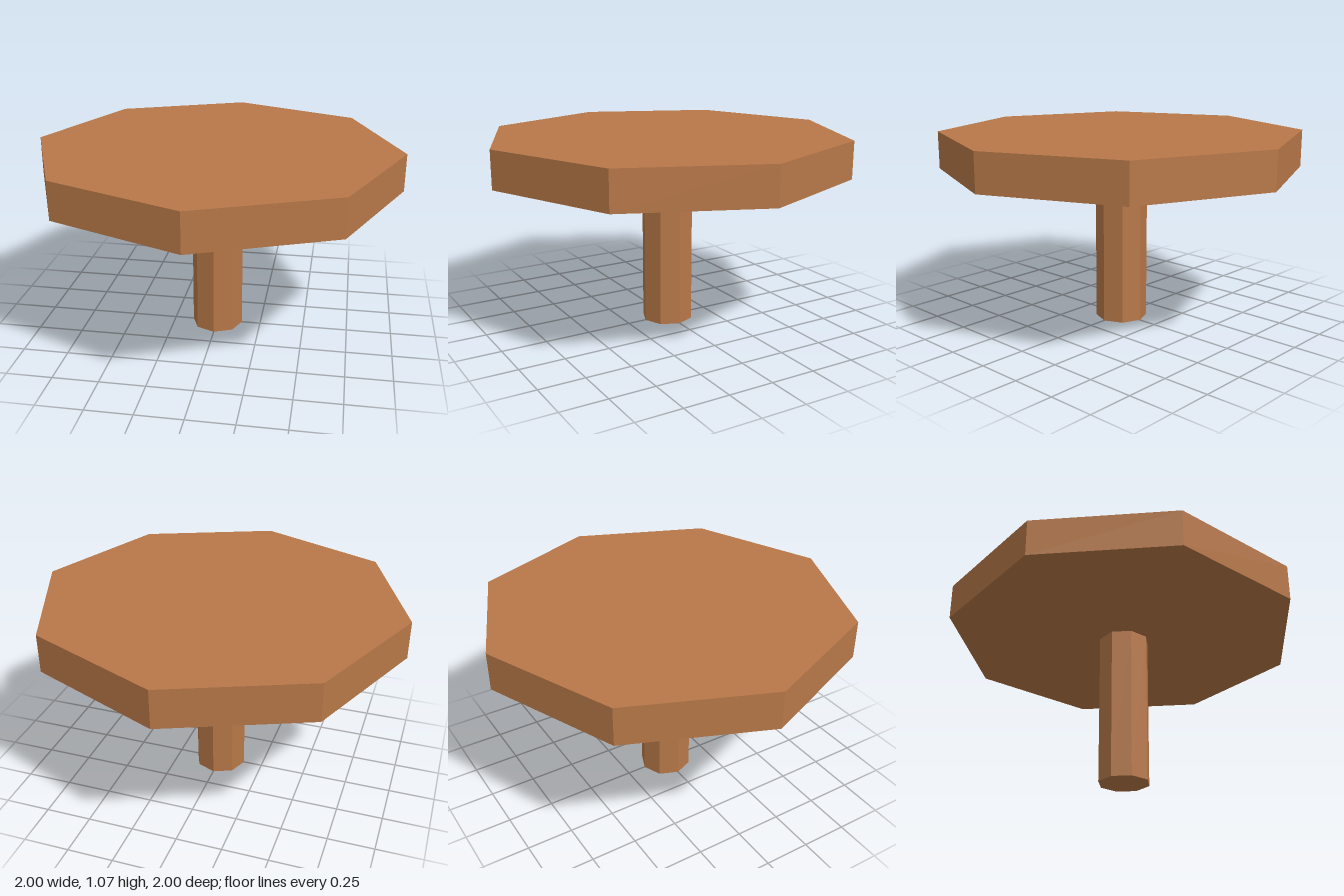
import * as THREE from 'three';

export function createModel() {
  const model = new THREE.Group();
  model.name = 'pedestalTable';

  const wood = new THREE.MeshStandardMaterial({ color: 0xb87848, flatShading: true });
  wood.name = 'warm wood';

  // Upright octagonal prism standing between two heights
  const addPrism = (name, radius, bottom, top) => {
    const mesh = new THREE.Mesh(new THREE.CylinderGeometry(radius, radius, top - bottom, 8), wood);
    mesh.name = name;
    mesh.position.y = (bottom + top) / 2;
    model.add(mesh);
  };

  addPrism('pedestalLeg', 0.143, 0, 0.862);
  addPrism('tableTop', 1, 0.862, 1.066);

  return model;
}
